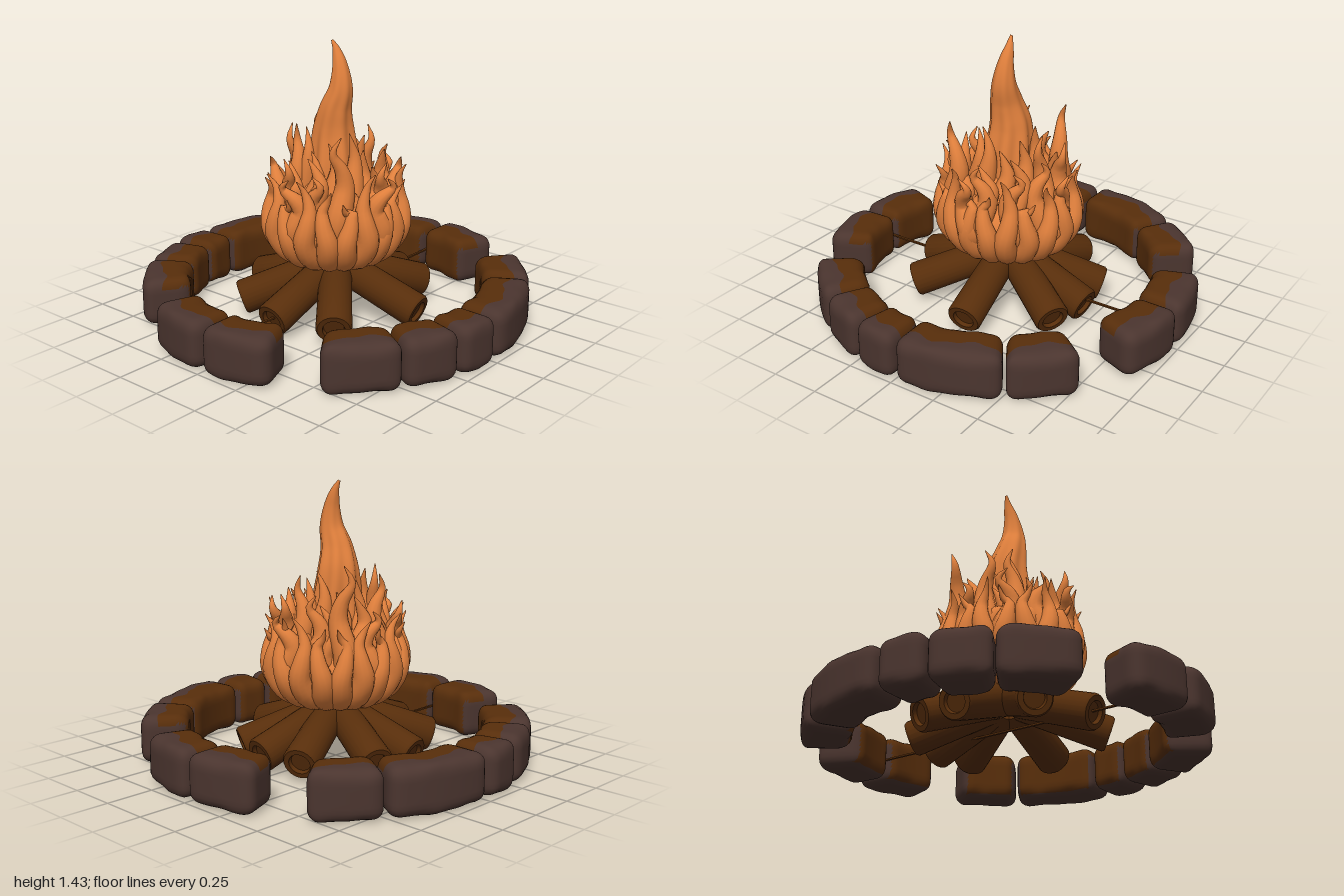
import * as THREE from 'three';
import { mergeVertices, mergeGeometries, toCreasedNormals } from 'three/addons/utils/BufferGeometryUtils.js';

const material = (name, color) => {
  const m = new THREE.MeshStandardMaterial({ color });
  m.name = name;
  return m;
};

const polar = (a, r, y) => new THREE.Vector3(r * Math.sin(a), y, -r * Math.cos(a));

// Rounded block bent along the ring; group 0 is the sooty outside, group 1 the warm inside
function stoneGeometry(a0, a1, seed) {
  const R = 0.878, H = 0.245, W = 0.244, round = 0.057, L = (a1 - a0) * R;
  const geo = new THREE.BoxGeometry(L, H, W, 18, 10, 12);
  geo.deleteAttribute('uv');
  geo.deleteAttribute('normal');
  const merged = mergeVertices(geo, 1e-5);
  const pos = merged.attributes.position;
  const half = new THREE.Vector3(L / 2 - round, H / 2 - round, W / 2 - round);
  const p = new THREE.Vector3(), c = new THREE.Vector3();
  const flat = [];
  for (let i = 0; i < pos.count; i++) {
    p.fromBufferAttribute(pos, i);
    c.copy(p).clamp(half.clone().negate(), half);
    p.sub(c).setLength(round).add(c);
    flat.push(p.clone());
    const wave = Math.sin(p.x * 19 + seed) + 0.4 * Math.sin(p.x * 47 + seed * 2);
    const z = p.z + 0.02 * wave * (1 - (p.z / (W / 2)) ** 2);
    const q = polar((a0 + a1) / 2 + p.x / R, R - z, p.y + 0.131);
    pos.setXYZ(i, q.x, q.y, q.z);
  }
  const outside = [], inside = [], idx = merged.index.array;
  for (let i = 0; i < idx.length; i += 3) {
    const t = [idx[i], idx[i + 1], idx[i + 2]];
    const mid = axis => t.reduce((s, k) => s + flat[k][axis], 0) / 3;
    const sooty = mid('z') < -0.02 || mid('y') < -0.105 || (Math.abs(mid('x')) > L / 2 - 0.02 && mid('y') < 0.08);
    (sooty ? outside : inside).push(...t);
  }
  merged.setIndex([...outside, ...inside]);
  merged.clearGroups();
  merged.addGroup(0, outside.length, 0);
  merged.addGroup(outside.length, inside.length, 1);
  merged.computeVertexNormals();
  return merged;
}

// Tapering tube along a curve; width(t, angle) gives its radius
function taperedTube(points, width, segs = 24, sides = 12) {
  const curve = new THREE.CatmullRomCurve3(points);
  const geo = new THREE.TubeGeometry(curve, segs, 1, sides);
  const pos = geo.attributes.position, v = new THREE.Vector3();
  for (let j = 0, k = 0; j <= segs; j++) {
    const c = curve.getPointAt(j / segs);
    for (let i = 0; i <= sides; i++, k++) {
      v.fromBufferAttribute(pos, k).sub(c).multiplyScalar(width(j / segs, (i / sides) * Math.PI * 2)).add(c);
      pos.setXYZ(k, v.x, v.y, v.z);
    }
  }
  geo.deleteAttribute('uv');
  geo.deleteAttribute('normal');
  const out = mergeVertices(geo, 1e-5);
  out.computeVertexNormals();
  return out;
}

const tongue = (points, r) => taperedTube(points,
  t => r * Math.sin(Math.PI * Math.pow(0.12 + 0.865 * t, 0.68)));

export function createModel() {
  const group = new THREE.Group();
  const soot = material('sooty stone', 0x4b352f);
  const brown = material('warm brown', 0x582e0b);
  const orange = material('flame orange', 0xdf7f3c);
  const add = (name, geo, mat, parent = group) => {
    const m = new THREE.Mesh(geo, mat);
    m.name = name;
    parent.add(m);
    return m;
  };

  // Ring of stones, mirrored left and right; angles run from the back to the front
  const stones = new THREE.Group();
  stones.name = 'stoneRing';
  group.add(stones);
  const spans = [[0.4, 22.5], [36.5, 57], [58, 89.4], [90.2, 104.4], [104.8, 121.6], [122, 144.2], [157.5, 179.6]];
  spans.forEach(([a, b], i) => {
    const [p, q] = [a, b].map(THREE.MathUtils.degToRad);
    add('stoneLeft', stoneGeometry(p, q, i * 1.7), [soot, brown], stones);
    add('stoneRight', stoneGeometry(-q, -p, i * 1.7 + 1), [soot, brown], stones);
  });

  // Thin rod across the ring
  add('crossRod', new THREE.BoxGeometry(0.014, 0.008, 1.78), brown).position.y = 0.12;

  // Logs leaning into the middle, with hollowed ends
  const logs = new THREE.Group();
  logs.name = 'logs';
  group.add(logs);
  const length = 0.47;
  const logProfile = [[0, 0], [0.08, 0], [0.085, 0.01], [0.09, length - 0.012], [0.082, length],
    [0.056, length], [0.05, length - 0.02], [0, length - 0.02]].map(p => new THREE.Vector2(...p));
  const logGeo = toCreasedNormals(new THREE.LatheGeometry(logProfile, 24), 0.6);
  const ends = [[-0.2, -0.46], [0.04, -0.48], [0.24, -0.42], [-0.46, -0.19], [-0.48, 0.045],
    [0.48, -0.055], [-0.31, 0.36], [0, 0.47], [0.29, 0.36]];
  for (const [x, z] of ends) {
    const end = new THREE.Vector3(x, 0, z).setLength(0.495).setY(0.11);
    const dir = new THREE.Vector3(x, 0, z).setLength(0.43).setY(-0.15).normalize();
    const log = add('log', logGeo, brown, logs);
    log.quaternion.setFromUnitVectors(new THREE.Vector3(0, 1, 0), dir);
    log.position.copy(end).addScaledVector(dir, -length);
  }

  // Fire: solid core
  const fire = new THREE.Group();
  fire.name = 'fire';
  group.add(fire);
  const core = [[0, 0.3], [0.15, 0.31], [0.24, 0.36], [0.3, 0.46], [0.305, 0.53], [0.26, 0.61],
    [0.19, 0.68], [0.12, 0.75], [0, 0.8]].map(p => new THREE.Vector2(...p));
  add('flameCore', new THREE.LatheGeometry(new THREE.SplineCurve(core).getPoints(32).map(
    p => p.setX(Math.max(0, p.x))), 40), orange, fire);

  // Outer tongues cupping the fire, a little deeper than wide
  const outer = [], count = 20;
  for (let i = 0; i < count; i++) {
    const a = (i / count) * Math.PI * 2 + 0.07, s = i % 2 ? 1 : -1;
    const k = 1 + 0.06 * Math.cos(a) ** 2;
    const top = 0.73 + 0.05 * Math.sin(i * 2.4) + (i % 3 === 0 ? 0.04 : 0);
    outer.push(tongue([polar(a, 0.12 * k, 0.335), polar(a, 0.25 * k, 0.39), polar(a + 0.02 * s, 0.32 * k, 0.49),
      polar(a - 0.04 * s, 0.328 * k, 0.58), polar(a - 0.06 * s, 0.315 * k, 0.66),
      polar(a + 0.02 * s, 0.32 * k, top - 0.04), polar(a + 0.08 * s, 0.355 * k, top + 0.02)], 0.062));
  }
  add('outerFlames', mergeGeometries(outer), orange, fire);

  // Taller tongues, given by their tips
  const tips = [[-0.24, 1.05, -0.19], [0.21, 1.02, 0.21], [-0.26, 0.99, 0.04], [-0.15, 1.02, 0.13],
    [0.12, 0.88, -0.27], [0.3, 0.86, -0.03], [-0.11, 0.87, 0.27], [0.03, 0.98, -0.22], [0.09, 0.82, 0.29],
    [-0.28, 0.84, 0.19], [0.26, 0.85, -0.2], [-0.12, 0.9, -0.26], [0.37, 0.81, 0.05], [0.02, 0.81, 0.38],
    [-0.31, 0.82, -0.06], [0.02, 0.8, -0.37]];
  const middle = tips.map(([x, y, z], i) => {
    const a = Math.atan2(x, -z), r = Math.hypot(x, z), s = i % 2 ? 1 : -1;
    const h = k => 0.4 + (y - 0.4) * k;
    return tongue([polar(a, 0.18, 0.38), polar(a + 0.06 * s, r * 0.4 + 0.16, h(0.28)),
      polar(a - 0.08 * s, r * 0.6 + 0.08, h(0.58)), polar(a - 0.02 * s, r * 0.8 + 0.03, h(0.72)),
      polar(a + 0.14 * s, r * 0.95 + 0.01, h(0.87)), new THREE.Vector3(x, y, z)], 0.066);
  });
  add('middleFlames', mergeGeometries(middle), orange, fire);

  // Two rings of inner tongues filling the space around the plume
  const inner = [];
  for (let i = 0; i < 18; i++) {
    const ring = i % 2, a = (i / 18) * Math.PI * 2 + 0.4;
    const top = (ring ? 0.84 : 0.95) + 0.06 * Math.sin(i * 2.1), r = ring ? 0.235 : 0.14;
    inner.push(tongue([polar(a, r, 0.46), polar(a + 0.15, r + 0.02, 0.6), polar(a - 0.08, r, top - 0.14),
      polar(a + 0.05, r, top - 0.06), polar(a + 0.2, r + 0.01, top)], 0.062));
  }
  add('innerFlames', mergeGeometries(inner), orange, fire);

  // Central plume with lengthwise ridges and an S-shaped tip
  const spine = [[0, 0.55, 0], [-0.005, 0.8, 0], [-0.015, 0.98, 0], [0.005, 1.1, 0.01], [0.033, 1.2, 0.005],
    [0.028, 1.3, 0], [0, 1.39, -0.005], [-0.025, 1.44, 0]].map(p => new THREE.Vector3(...p));
  const widths = [0.15, 0.145, 0.135, 0.125, 0.113, 0.1, 0.082, 0.065, 0.048, 0.03, 0.006];
  add('centralFlame', taperedTube(spine, (t, a) => {
    const k = Math.min(t * 10, 9.999), i = Math.floor(k);
    const w = THREE.MathUtils.lerp(widths[i], widths[i + 1], k - i);
    return w * (1 + 0.13 * (1 - t) * Math.cos(a * 7 + t * 3));
  }, 48, 56), orange, fire);

  return group;
}
